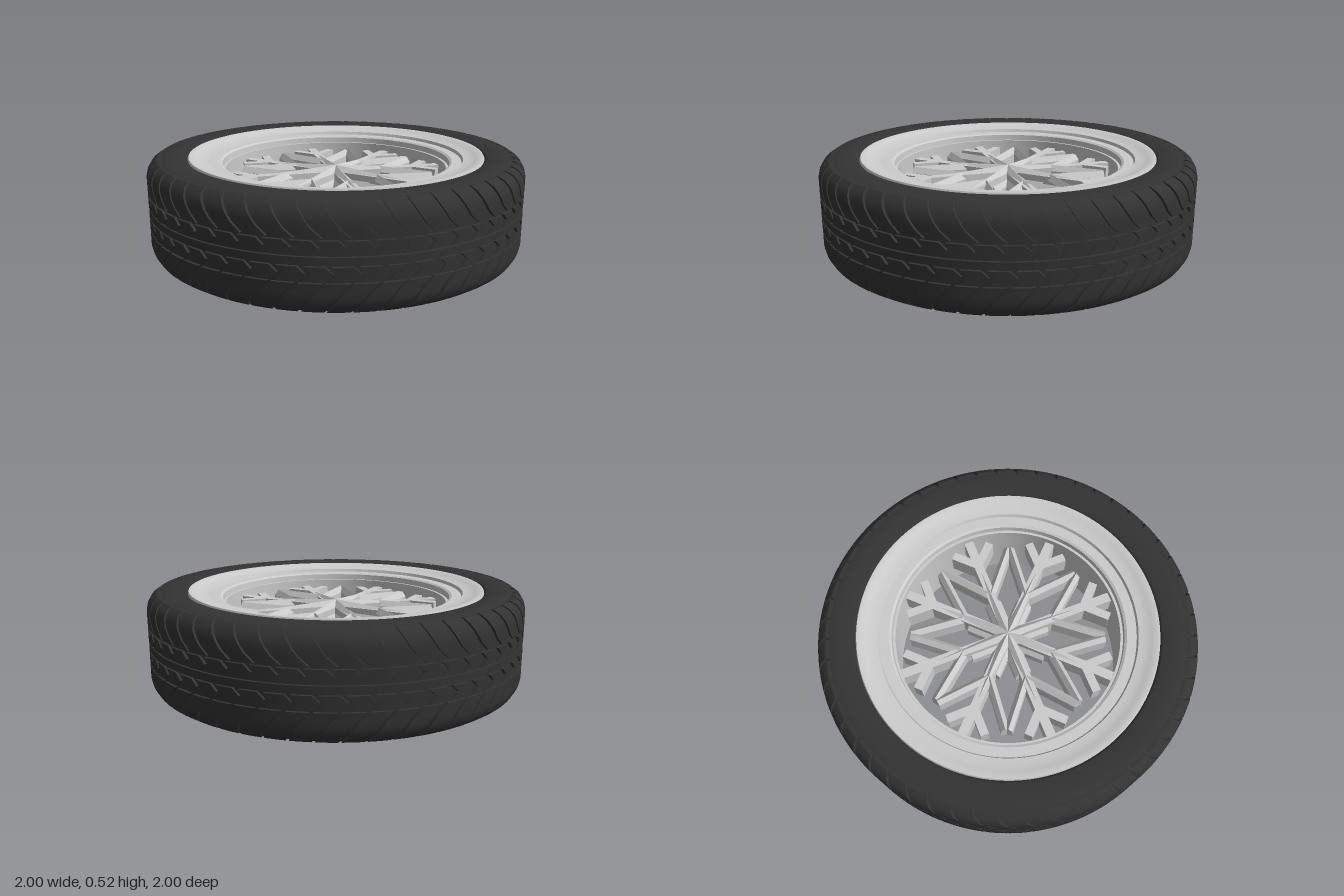
import * as THREE from 'three';
import { toCreasedNormals } from 'three/addons/utils/BufferGeometryUtils.js';

const MID = 0.26; // half the wheel's width
const rubber = new THREE.MeshStandardMaterial({ color: 0x333333 });
const metal = new THREE.MeshStandardMaterial({ color: 0xcccccc });
const facetedMetal = new THREE.MeshStandardMaterial({ color: 0xcccccc, flatShading: true });

function add(parent, name, geometry, material) {
  const mesh = new THREE.Mesh(geometry, material);
  mesh.name = name;
  parent.add(mesh);
  return mesh;
}

const lathe = (profile, segments) => toCreasedNormals(
  new THREE.LatheGeometry(profile.map(([r, y]) => new THREE.Vector2(r, y)), segments), 0.5);

const mirrorProfile = (profile) => profile.map(([r, y]) => [r, 2 * MID - y]).reverse();

// A ring of raised tread blocks. The profile runs upwards; shift(t) skews each block
// along the tread, and the outermost rows and columns sink into the carcass.
function treadRing(profile, count, gap, shift, phase = 0) {
  const positions = [], index = [];
  const rows = [profile[0], ...profile, profile[profile.length - 1]];
  const step = (2 * Math.PI) / count, cols = [0, 0, 1 / 3, 2 / 3, 1, 1];
  const low = profile[0][1], span = profile[profile.length - 1][1] - low;
  for (let b = 0; b < count; b++) {
    const start = positions.length / 3;
    rows.forEach(([r, y], i) => cols.forEach((c, j) => {
      const sunk = i === 0 || i === rows.length - 1 || j === 0 || j === cols.length - 1;
      const a = (b + phase) * step + c * (step - gap) + shift((y - low) / span);
      const radius = sunk ? r - 0.03 : r;
      positions.push(radius * Math.sin(a), y, radius * Math.cos(a));
    }));
    for (let i = 0; i < rows.length - 1; i++) {
      for (let j = 0; j < cols.length - 1; j++) {
        const p = start + i * cols.length + j, q = p + cols.length;
        index.push(p, p + 1, q + 1, p, q + 1, q);
      }
    }
  }
  const geometry = new THREE.BufferGeometry();
  geometry.setAttribute('position', new THREE.Float32BufferAttribute(positions, 3));
  geometry.setIndex(index);
  return toCreasedNormals(geometry, 0.5);
}

// A bar along +z from z = 0, with a flat top, or a ridge when peak is above top.
function bar(length, width, bottom, top, peak = top) {
  const w = width / 2;
  const section = new THREE.Shape();
  section.moveTo(-w, bottom).lineTo(w, bottom).lineTo(w, top);
  if (peak > top) section.lineTo(0, peak);
  section.lineTo(-w, top).closePath();
  return new THREE.ExtrudeGeometry(section, { depth: length, bevelEnabled: false });
}

function createTyre() {
  const tyre = new THREE.Group();
  tyre.name = 'tyre';

  // Carcass: sidewalls and the floor of the tread grooves
  const upper = [[0.986, MID], [0.986, 0.43], [0.98, 0.458], [0.963, 0.487], [0.94, 0.51],
    [0.915, 0.518], [0.88, 0.52], [0.83, 0.517], [0.8, 0.511], [0.787, 0.5]];
  add(tyre, 'carcass', lathe([...mirrorProfile(upper), ...upper.slice(1)], 128), rubber);

  // Shoulder blocks sweeping round to the sidewalls
  const shoulder = [[1, 0.36], [1, 0.4], [1, 0.435], [0.993, 0.465], [0.975, 0.495], [0.945, 0.515]];
  const sweep = (t) => -0.12 * Math.pow(Math.max(t, 0), 0.7);
  add(tyre, 'upperShoulderTread', treadRing(shoulder, 52, 0.016, sweep), rubber);
  add(tyre, 'lowerShoulderTread',
    treadRing(mirrorProfile(shoulder), 52, 0.016, (t) => sweep(1 - t)), rubber);

  // Two rows of arrow blocks beside a solid central rib
  const arrow = (t) => -0.07 * Math.abs(t - 0.5);
  const row = [[1, 0.285], [1, 0.317], [1, 0.35]];
  add(tyre, 'upperArrowTread', treadRing(row, 52, 0.03, arrow), rubber);
  add(tyre, 'lowerArrowTread', treadRing(mirrorProfile(row), 52, 0.03, arrow, 0.5), rubber);
  add(tyre, 'centreRib', lathe([[0.98, 0.242], [0.999, 0.242], [0.999, 0.278], [0.98, 0.278]], 128), rubber);
  return tyre;
}

function createRim() {
  // Outer wall, front lip, stepped seat, barrel and back lip
  return lathe([
    [0.79, 0.02], [0.79, 0.505], [0.785, 0.515], [0.768, 0.515], [0.745, 0.505], [0.715, 0.496],
    [0.68, 0.493], [0.673, 0.477], [0.622, 0.477], [0.61, 0.47], [0.607, 0.44], [0.593, 0.44],
    [0.593, 0.29], [0.615, 0.285], [0.615, 0.015], [0.66, 0.015], [0.69, 0.022], [0.72, 0.028],
    [0.75, 0.022], [0.768, 0.008], [0.785, 0.008], [0.79, 0.02],
  ], 128);
}

function createSnowflake() {
  const flake = new THREE.Group();
  flake.name = 'snowflakeSpokes';
  const bottom = 0.29, top = 0.405;

  const arm = bar(0.55, 0.05, bottom, top);
  const branch = bar(0.15, 0.045, bottom, top);
  const starBar = bar(0.3, 0.045, bottom, 0.385, 0.415);
  const root = bar(0.22, 0.09, bottom, 0.345, 0.405);
  const spike = new THREE.ConeGeometry(0.032, 0.4, 4).rotateX(Math.PI / 2).translate(0, top, 0.2);

  for (let i = 0; i < 8; i++) {
    const spoke = new THREE.Group();
    spoke.name = 'spoke';
    spoke.rotation.y = (i * Math.PI) / 4;
    add(spoke, 'arm', arm, facetedMetal).position.z = 0.05;
    add(spoke, 'root', root, facetedMetal);
    add(spoke, 'spike', spike, facetedMetal);
    for (const side of [-1, 1]) {
      // Forked tip
      const fork = add(spoke, 'branch', branch, facetedMetal);
      fork.position.z = 0.44;
      fork.rotation.y = (side * Math.PI) / 4;
      // Half of the ridged star point shared with the next spoke
      const star = add(spoke, 'starPoint', starBar, facetedMetal);
      star.position.z = 0.25;
      star.rotation.y = side * Math.atan2(0.19, 0.23);
    }
    flake.add(spoke);
  }

  // Hub disc on the back
  const hub = new THREE.CylinderGeometry(0.125, 0.125, 0.05, 32);
  add(flake, 'hub', hub, facetedMetal).position.y = bottom + 0.02;
  return flake;
}

export function createModel() {
  const wheel = new THREE.Group();
  wheel.name = 'wheel';
  wheel.add(createTyre());
  add(wheel, 'rim', createRim(), metal);
  wheel.add(createSnowflake());
  return wheel;
}
